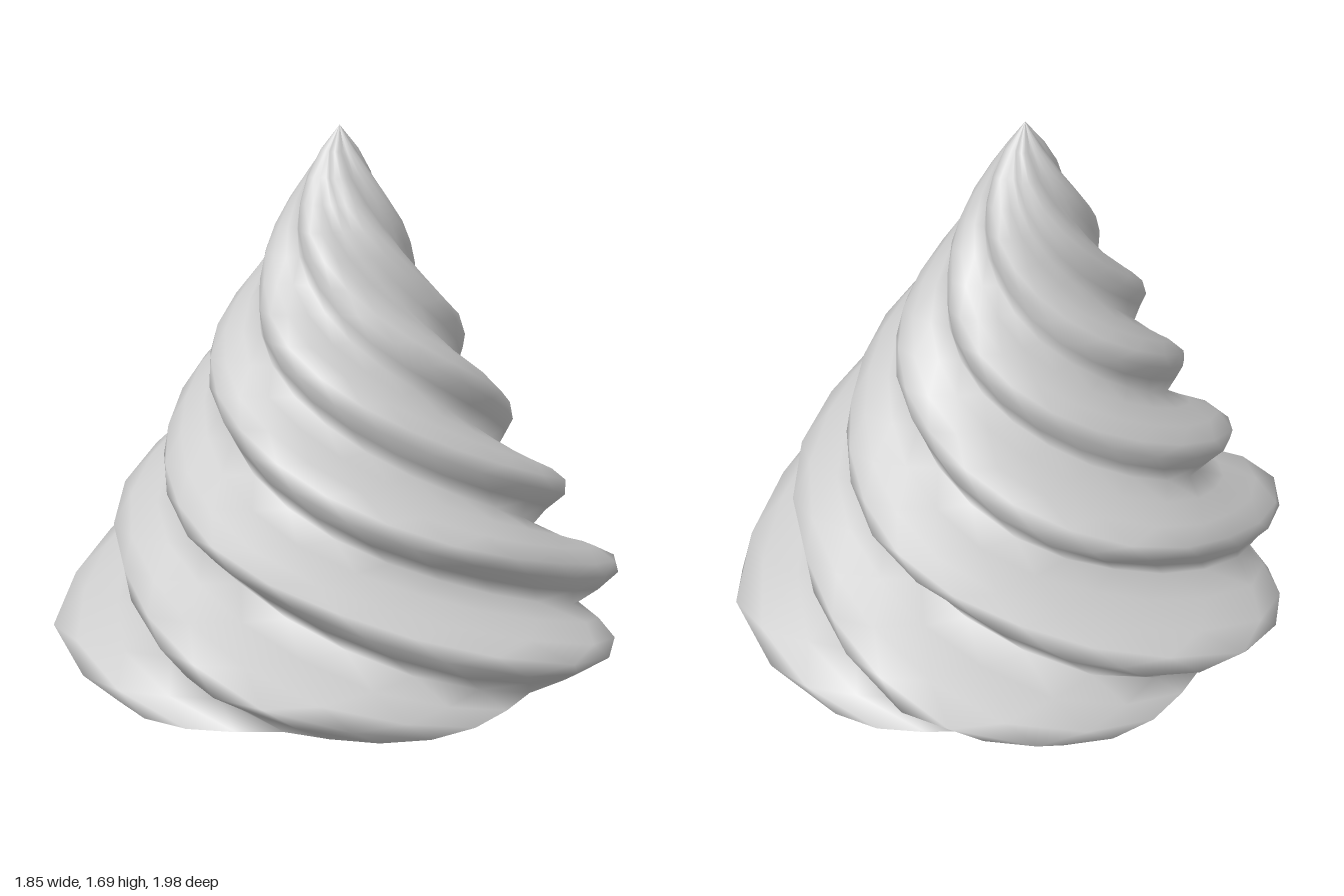
import * as THREE from 'three';

const HEIGHT = 1.69;
const LOBES = 6;
const STEPS = 6; // points across one lobe
const ROWS = 22;
const TURN = 1.76; // height of one full twist
const PHASE = 0.08; // height at which a ridge faces +x

// Ridge radius at each height: [y, r]
const PROFILE = [
  [0, 0.9], [0.08, 0.965], [0.16, 0.985], [0.25, 0.89], [0.37, 0.8], [0.51, 0.755],
  [0.65, 0.65], [0.79, 0.555], [0.93, 0.485], [1.07, 0.4], [1.21, 0.3],
  [1.35, 0.225], [1.49, 0.145], [1.6, 0.075], [HEIGHT, 0],
];

function ridgeRadius(y) {
  const i = Math.max(1, PROFILE.findIndex((p) => p[0] >= y - 1e-6));
  const [y0, r0] = PROFILE[i - 1];
  const [y1, r1] = PROFILE[i];
  return THREE.MathUtils.mapLinear(y, y0, y1, r0, r1);
}

// Twisted, scalloped cone: one ring of lobes per row, each row turned further
function swirlGeometry() {
  const cols = LOBES * STEPS;
  const positions = [];
  const index = [];
  for (let i = 0; i <= ROWS; i++) {
    const y = (i / ROWS) * HEIGHT;
    const r = ridgeRadius(y);
    const depth = 0.22 * THREE.MathUtils.smoothstep(y, -0.2, 0.2);
    // The axis bends slightly and the rings are a little longer in z
    const cx = 0.02 * Math.sin(y / 0.35);
    const cz = 0.05 * Math.sin((Math.PI * y) / HEIGHT) ** 2;
    for (let j = 0; j < cols; j++) {
      const a = (j / cols + (y - PHASE) / TURN) * Math.PI * 2;
      // Full ridges with softly rounded valleys
      const bulge = (0.5 + 0.5 * Math.cos((2 * Math.PI * j) / STEPS)) ** 0.7;
      const rr = r * (1 - depth + depth * bulge);
      positions.push(cx + 0.96 * rr * Math.cos(a), y, cz + 1.04 * rr * Math.sin(a));
      if (i === ROWS) continue;
      const k = (j + 1) % cols;
      const A = i * cols + j, B = i * cols + k;
      const C = A + cols, D = B + cols;
      index.push(A, C, B);
      if (i < ROWS - 1) index.push(B, C, D);
    }
  }
  const geometry = new THREE.BufferGeometry();
  geometry.setAttribute('position', new THREE.Float32BufferAttribute(positions, 3));
  geometry.setIndex(index);
  geometry.computeVertexNormals();
  return geometry;
}

export function createModel() {
  const group = new THREE.Group();
  group.name = 'creamSwirl';
  // Open underneath, so both sides show
  const material = new THREE.MeshStandardMaterial({ color: 0xcccccc, side: THREE.DoubleSide });
  const swirl = new THREE.Mesh(swirlGeometry(), material);
  swirl.name = 'twistedCream';
  group.add(swirl);
  return group;
}
